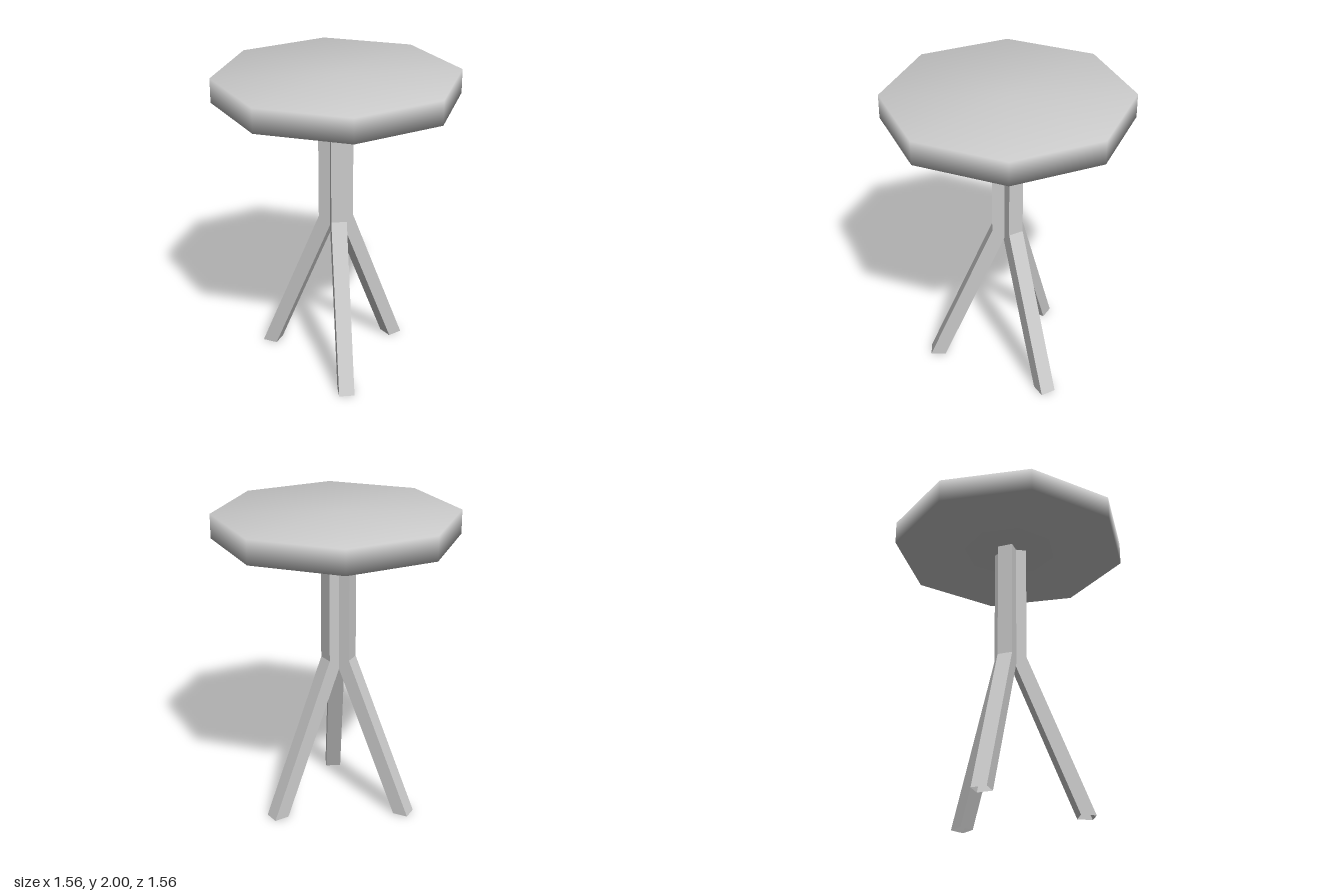
import * as THREE from 'three';
import { mergeVertices } from 'three/addons/utils/BufferGeometryUtils.js';

const TOP = 2, UNDERSIDE = 1.845, BEND = 1.04;

// Octagonal slab with normals shared across its rim for a soft edge
function makeTabletop() {
  const raw = new THREE.CylinderGeometry(0.78, 0.78, TOP - UNDERSIDE, 8);
  raw.deleteAttribute('uv');
  raw.deleteAttribute('normal');
  const geometry = mergeVertices(raw);
  geometry.computeVertexNormals();
  geometry.translate(0, (TOP + UNDERSIDE) / 2, 0);
  return geometry;
}

// Open square tube: upright above the bend, splayed outward (+z) below it
function makeLeg(splay) {
  const radius = 0.05 * Math.SQRT2;
  const geometry = new THREE.CylinderGeometry(radius, radius, 2, 4, 2, true);
  geometry.rotateY(Math.PI / 4);
  const p = geometry.attributes.position;
  for (let i = 0; i < p.count; i++) {
    const level = Math.round(p.getY(i)); // 1 top, 0 bend, -1 foot
    p.setY(i, level > 0 ? UNDERSIDE : level === 0 ? BEND : 0);
    p.setZ(i, p.getZ(i) + 0.05 + (level < 0 ? splay : 0));
  }
  geometry.computeVertexNormals();
  return geometry;
}

export function createModel() {
  const group = new THREE.Group();
  group.name = 'table';

  const topMaterial = new THREE.MeshStandardMaterial({ color: 0xcccccc });
  const legMaterial = new THREE.MeshStandardMaterial({
    color: 0xcccccc, flatShading: true, side: THREE.DoubleSide,
  });

  const tabletop = new THREE.Mesh(makeTabletop(), topMaterial);
  tabletop.name = 'tabletop';
  group.add(tabletop);

  // Three legs a third of a turn apart; the back pair sits slightly off centre
  const legs = [
    { name: 'frontLeg', x: -0.002, z: 0.002, splay: 0.433 },
    { name: 'backLeftLeg', x: -0.01, z: 0, splay: 0.431 },
    { name: 'backRightLeg', x: -0.01, z: 0, splay: 0.431 },
  ];
  legs.forEach(({ name, x, z, splay }, i) => {
    const leg = new THREE.Mesh(makeLeg(splay), legMaterial);
    leg.name = name;
    leg.position.set(x, 0, z);
    leg.rotation.y = (i * Math.PI * 2) / 3;
    group.add(leg);
  });

  return group;
}
